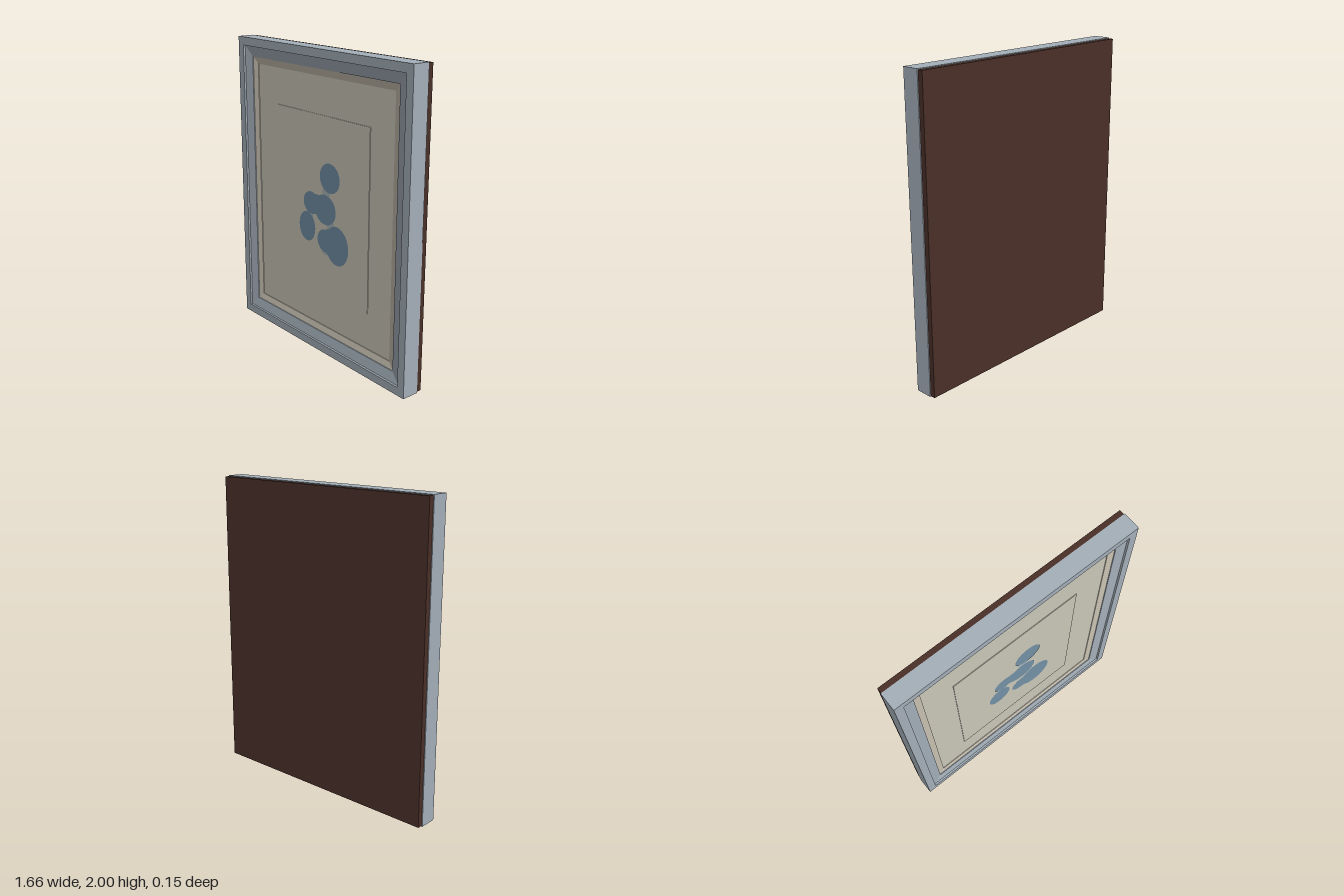
import * as THREE from 'three';

const W = 0.83, H = 1.0; // half width and half height of the frame

const mat = (name, color, side = THREE.FrontSide) => {
  const m = new THREE.MeshStandardMaterial({ color, side });
  m.name = name;
  return m;
};

// Mitred rectangular ring swept from [inset, z] profile points, outside to inside
function mitredRing(profile) {
  const corners = [[1, -1], [1, 1], [-1, 1], [-1, -1]];
  const at = ([sx, sy], [inset, z]) => [sx * (W - inset), H + sy * (H - inset), z];
  const pos = [];
  for (let p = 0; p < profile.length - 1; p++) {
    for (let i = 0; i < 4; i++) {
      const c0 = corners[i], c1 = corners[(i + 1) % 4];
      const a = at(c0, profile[p]), b = at(c1, profile[p]);
      const c = at(c1, profile[p + 1]), d = at(c0, profile[p + 1]);
      pos.push(...a, ...b, ...c, ...a, ...c, ...d);
    }
  }
  const g = new THREE.BufferGeometry();
  g.setAttribute('position', new THREE.Float32BufferAttribute(pos, 3));
  g.computeVertexNormals();
  return g;
}

export function createModel() {
  const group = new THREE.Group();
  const frameMat = mat('blue grey frame', 0xa5b0ba, THREE.DoubleSide);
  const lipMat = mat('warm cream lip', 0xcbc4b4, THREE.DoubleSide);
  const paperMat = mat('cream paper', 0xcac8b9);
  const backMat = mat('dark brown backing', 0x4a3028);
  const blueMat = mat('blue paint', 0x7391a6);
  const washMat = mat('pale blue wash', 0xacb7b9);

  const add = (name, geometry, material, x = 0, y = 0, z = 0) => {
    const mesh = new THREE.Mesh(geometry, material);
    mesh.name = name;
    mesh.position.set(x, y, z);
    group.add(mesh);
    return mesh;
  };

  // Stepped frame moulding and the inner lip
  add('frame', mitredRing([[0.06, -0.04], [0, -0.04], [0, 0.075], [0.055, 0.075],
    [0.056, 0.062], [0.125, 0.05], [0.126, 0.03]]), frameMat);
  add('innerLip', mitredRing([[0.125, 0.045], [0.17, 0.037], [0.171, 0.03]]), lipMat);

  // Backing board, mount panel and slightly raised sheet
  add('backing', new THREE.BoxGeometry(1.65, 1.99, 0.035), backMat, 0, H, -0.0575);
  add('mountPanel', new THREE.BoxGeometry(1.4, 1.74, 0.07), paperMat, 0, H, -0.002);
  add('artSheet', new THREE.BoxGeometry(0.91, 1.18, 0.004), paperMat, 0, H, 0.035);

  // Painted blots: centre x, centre y, radius x, radius y
  const blots = [
    [0.09, 1.2, 0.097, 0.097],
    [0.045, 0.985, 0.105, 0.1], [-0.095, 1.0, 0.08, 0.075], [-0.03, 1.0, 0.08, 0.07],
    [-0.138, 0.83, 0.083, 0.1],
    [0.16, 0.77, 0.113, 0.13], [0.05, 0.775, 0.082, 0.078], [0.09, 0.775, 0.07, 0.092],
  ];
  for (const [x, y, rx, ry] of blots) {
    add('blot', new THREE.CircleGeometry(1, 40), blueMat, x, y, 0.0395).scale.set(rx, ry, 1);
  }

  // Faint washes joining the blots
  const washes = [
    [0.055, 1.1, 0.038, 0.035], [-0.115, 0.92, 0.04, 0.03],
    [0.1, 0.89, 0.04, 0.035], [0.05, 0.7, 0.045, 0.02],
  ];
  for (const [x, y, rx, ry] of washes) {
    add('wash', new THREE.CircleGeometry(1, 24), washMat, x, y, 0.0382).scale.set(rx, ry, 1);
  }
  return group;
}
